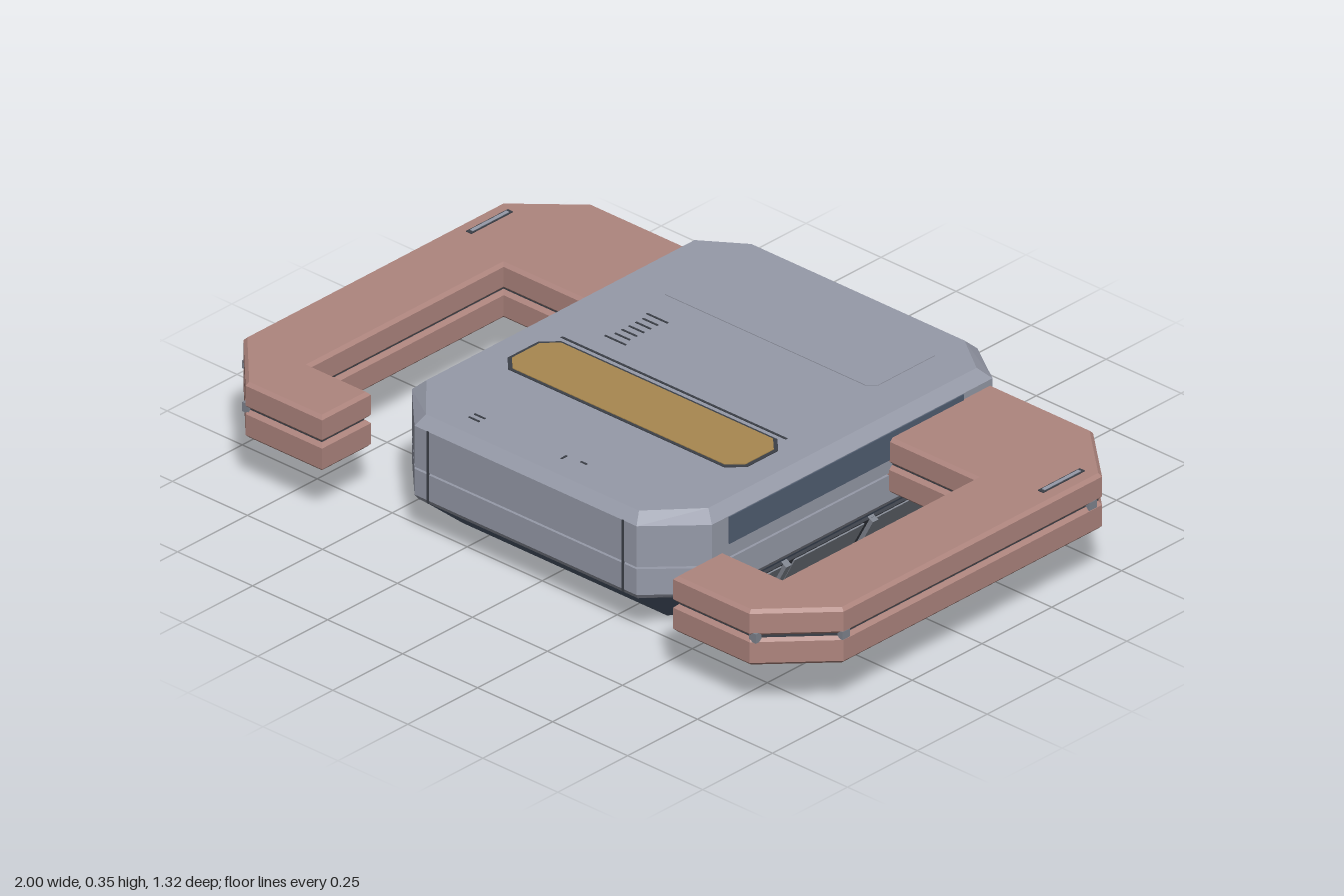
import * as THREE from 'three';

const mat = (name, color) => {
  const m = new THREE.MeshStandardMaterial({ color });
  m.name = name;
  return m;
};

// Eight-sided plan outline: half width, back z, front z, half width of the ends, corner depths
const octagon = (w, zb, zf, e, cb, cf) => [
  [w, zf - cf], [w, zb + cb], [e, zb], [-e, zb],
  [-w, zb + cb], [-w, zf - cf], [-e, zf], [e, zf],
];

// Closed flat-faced solid through outlines stacked from bottom to top
function loft(rings) {
  const pos = [];
  const tri = (...pts) => pts.forEach((p) => pos.push(...p));
  const at = (r, i) => {
    const [x, z] = r.pts[i % r.pts.length];
    return [x, r.y, z];
  };
  const n = rings[0].pts.length;
  for (let k = 0; k < rings.length - 1; k++) {
    const a = rings[k], b = rings[k + 1];
    for (let i = 0; i < n; i++) {
      tri(at(a, i), at(a, i + 1), at(b, i + 1));
      tri(at(a, i), at(b, i + 1), at(b, i));
    }
  }
  const lo = rings[0], hi = rings[rings.length - 1];
  for (let i = 1; i < n - 1; i++) {
    tri(at(lo, 0), at(lo, i + 1), at(lo, i));
    tri(at(hi, 0), at(hi, i), at(hi, i + 1));
  }
  const g = new THREE.BufferGeometry();
  g.setAttribute('position', new THREE.Float32BufferAttribute(pos, 3));
  g.computeVertexNormals();
  return g;
}

// Plan outline raised from y0 to y1 with a small chamfer
function slab(pts, y0, y1, bevel) {
  const shape = new THREE.Shape(pts.map(([x, z]) => new THREE.Vector2(x, -z)));
  const g = new THREE.ExtrudeGeometry(shape, {
    depth: y1 - y0 - 2 * bevel, bevelEnabled: bevel > 0, bevelThickness: bevel,
    bevelSize: bevel, bevelOffset: -bevel, bevelSegments: 1,
  });
  g.rotateX(-Math.PI / 2);
  g.translate(0, y0 + bevel, 0);
  return g;
}

export function createModel() {
  const model = new THREE.Group();
  model.name = 'vessel';
  const grey = mat('grey plating', 0x969aa8);
  const red = mat('dusty red plating', 0xae857e);
  const navy = mat('dark blue hull', 0x515e72);
  const gold = mat('gold panel', 0xa88850);
  const dark = mat('dark seam', 0x3c4048);
  const panel = mat('side panel grey', 0x80858f);

  const add = (name, geo, material, parent = model) => {
    const m = new THREE.Mesh(geo, material);
    m.name = name;
    parent.add(m);
    return m;
  };
  const box = (name, material, size, p, parent) => {
    const m = add(name, new THREE.BoxGeometry(...size), material, parent);
    m.position.set(...p);
    return m;
  };

  // Main body in two tiers with a seam between them
  const full = octagon(0.5, -0.66, 0.56, 0.37, 0.085, 0.13);
  const inset = octagon(0.49, -0.65, 0.55, 0.365, 0.085, 0.13);
  const top = octagon(0.47, -0.63, 0.535, 0.355, 0.08, 0.125);
  add('lowerBody', loft([{ y: 0.11, pts: inset }, { y: 0.125, pts: full }, { y: 0.197, pts: full }]), grey);
  add('bodySeam', loft([{ y: 0.19, pts: inset }, { y: 0.21, pts: inset }]), dark);
  add('upperBody', loft([{ y: 0.203, pts: full }, { y: 0.317, pts: full }, { y: 0.345, pts: top }]), grey);

  // Tapered keel
  const keelFoot = octagon(0.43, -0.43, 0.42, 0.34, 0.07, 0.09);
  add('keel', loft([{ y: 0, pts: keelFoot }, { y: 0.112, pts: inset }]), navy);

  // Gold window with a dark rim
  add('windowRim', slab(octagon(0.4, 0.045, 0.235, 0.36, 0.04, 0.04), 0.342, 0.347, 0), dark);
  add('goldWindow', slab(octagon(0.39, 0.053, 0.227, 0.353, 0.037, 0.037), 0.342, 0.349, 0), gold);

  // Fine deck details
  box('deckLine', dark, [0.75, 0.004, 0.006], [0, 0.345, 0.028]);
  add('rearHatch', slab(octagon(0.355, -0.545, -0.3, 0.335, 0.02, 0.02), 0.342, 0.347, 0), grey);
  for (let i = 0; i < 7; i++) {
    box('deckVent', dark, [i % 6 ? 0.05 : 0.07, 0.004, 0.005], [-0.268, 0.345, -0.2 + i * 0.025]);
  }
  for (const z of [0.455, 0.475]) box('deckMark', dark, [0.035, 0.004, 0.005], [-0.25, 0.345, z]);
  box('deckMark', dark, [0.005, 0.004, 0.02], [0.04, 0.345, 0.465]);
  box('deckMark', dark, [0.02, 0.004, 0.005], [0.095, 0.345, 0.453]);

  for (const s of [1, -1]) {
    const side = new THREE.Group();
    side.name = s > 0 ? 'leftSide' : 'rightSide';
    model.add(side);

    // Hooked arm made of two plates around a recessed core
    const outline = (d) => [
      [0.48, -0.575 + d], [0.835, -0.575 + d], [1 - d, -0.43], [1 - d, 0.495],
      [0.84, 0.66 - d], [0.585 + d, 0.66 - d], [0.585 + d, 0.485 + d],
      [0.785 + d, 0.485 + d], [0.785 + d, -0.205 - d], [0.48, -0.205 - d],
    ].map(([x, z]) => [x * s, z]);
    add('lowerArm', slab(outline(0), 0.145, 0.221, 0.009), red, side);
    add('armSeam', slab(outline(0.012), 0.215, 0.235, 0), dark, side);
    add('upperArm', slab(outline(0), 0.227, 0.3, 0.009), red, side);

    // Arm slot and seam clips
    box('armSlot', dark, [0.018, 0.004, 0.15], [s * 0.953, 0.3, -0.335], side);
    box('armSlotCover', grey, [0.01, 0.005, 0.13], [s * 0.953, 0.301, -0.335], side);
    for (const z of [0.487, -0.397]) {
      box('seamClip', panel, [0.02, 0.022, 0.026], [s * 0.991, 0.225, z], side);
    }
    box('seamClip', panel, [0.022, 0.026, 0.02], [s * 0.845, 0.225, 0.645], side);

    // Blue strip on the body wall
    box('wallStrip', navy, [0.008, 0.075, 0.84], [s * 0.499, 0.278, -0.05], side);

    // Ribbed panels on the keel flank
    const flank = new THREE.Group();
    flank.name = 'keelFlank';
    flank.position.set(s * 0.462, 0.055, 0);
    flank.rotation.z = -s * Math.atan2(0.06, 0.112);
    side.add(flank);
    box('flankBacking', dark, [0.012, 0.1, 0.79], [0, 0, 0], flank);
    for (const [z, l] of [[0.27, 0.2], [0, 0.25], [-0.27, 0.2]]) {
      box('flankPanel', panel, [0.02, 0.092, l], [0, 0, z], flank);
    }
    for (const z of [0.387, 0.155, -0.155, -0.38]) {
      box('flankRib', panel, [0.036, 0.1, 0.02], [0, 0, z], flank);
    }

    // Front and rear wall panel edges
    box('frontPanelLine', dark, [0.006, 0.2, 0.004], [s * 0.325, 0.218, 0.56], side);
    box('rearPanelLine', dark, [0.006, 0.2, 0.004], [s * 0.325, 0.218, -0.66], side);
  }
  return model;
}
